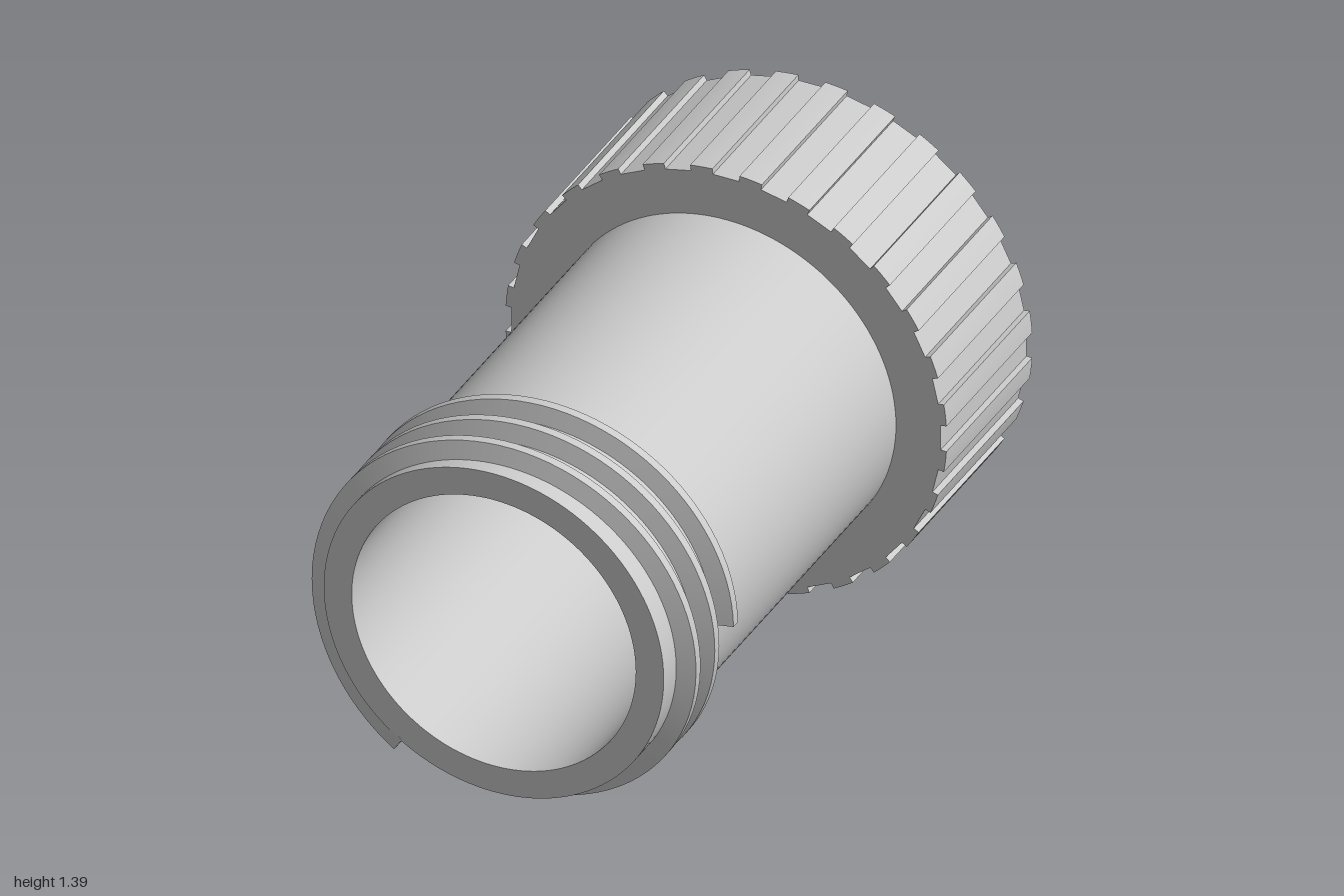
import * as THREE from 'three';
import { toCreasedNormals } from 'three/addons/utils/BufferGeometryUtils.js';

const AXIS_Y = 0.695;      // height of the container's axis
const PITCH = 0.118;       // thread rise per turn

function addMesh(parent, name, geometry) {
  const mesh = new THREE.Mesh(
    toCreasedNormals(geometry, 0.5),
    new THREE.MeshStandardMaterial({ color: 0xcccccc })
  );
  mesh.name = name;
  parent.add(mesh);
}

// Trapezoid thread winding around z, from root radius r0 to crest radius r1
function threadGeometry(r0, r1, zStart, angle) {
  const profile = [[r0, -0.03], [r1, -0.014], [r1, 0.014], [r0, 0.03]];
  if (r1 < r0) profile.reverse();
  const steps = Math.ceil(angle / (Math.PI / 48));
  const positions = [], index = [];
  for (let i = 0; i <= steps; i++) {
    const a = (angle * i) / steps;
    const z = zStart + (PITCH * a) / (Math.PI * 2);
    for (const [r, dz] of profile) positions.push(r * Math.cos(a), r * Math.sin(a), z + dz);
    if (i === steps) break;
    for (let j = 0; j < 4; j++) {
      const p = i * 4 + j, q = i * 4 + ((j + 1) % 4);
      index.push(p, p + 4, q + 4, p, q + 4, q);
    }
  }
  const e = steps * 4;
  index.push(0, 1, 2, 0, 2, 3, e, e + 2, e + 1, e, e + 3, e + 2);
  const g = new THREE.BufferGeometry();
  g.setAttribute('position', new THREE.Float32BufferAttribute(positions, 3));
  g.setIndex(index);
  return g;
}

// Round outline with 28 shallow grip grooves
function gripShape() {
  const teeth = 28, pitch = (Math.PI * 2) / teeth, half = THREE.MathUtils.degToRad(3.5);
  const points = [];
  const put = (r, a) => points.push(new THREE.Vector2(r * Math.cos(a), r * Math.sin(a)));
  for (let i = 0; i < teeth; i++) {
    const a = i * pitch;
    put(0.677, a - half);
    put(0.677, a + half);
    for (let k = 0; k <= 3; k++) put(0.695, a + half + ((pitch - 2 * half) * k) / 3);
  }
  return new THREE.Shape(points);
}

function extrudeZ(shape, z0, z1) {
  return new THREE.ExtrudeGeometry(shape, { depth: z1 - z0, bevelEnabled: false, curveSegments: 64 })
    .translate(0, 0, z0);
}

export function createModel() {
  const model = new THREE.Group();
  model.name = 'threadedContainer';

  // Hollow body with a closed floor at the back
  const body = new THREE.Group();
  body.name = 'body';
  const profile = [[0, -1], [0.535, -1], [0.535, 1], [0.447, 1], [0.447, -0.9], [0, -0.9]]
    .map(([r, z]) => new THREE.Vector2(r, z));
  addMesh(body, 'tube', new THREE.LatheGeometry(profile, 128).rotateX(Math.PI / 2));
  addMesh(body, 'outerThread',
    threadGeometry(0.53, 0.59, 0.657, THREE.MathUtils.degToRad(957)));

  // Grooved cap, open to the back
  const cap = new THREE.Group();
  cap.name = 'cap';
  const skirt = gripShape();
  skirt.holes.push(new THREE.Path().absarc(0, 0, 0.605, 0, Math.PI * 2, true));
  addMesh(cap, 'capSkirt', extrudeZ(skirt, -1, -0.55));
  addMesh(cap, 'capTop', extrudeZ(gripShape(), -0.55, -0.46));
  addMesh(cap, 'innerThread',
    threadGeometry(0.61, 0.55, -0.93, THREE.MathUtils.degToRad(957)));

  // Arched loop on the cap top, inside the tube
  const arch = new THREE.Shape();
  arch.absarc(0, 0, 0.187, 0, Math.PI, false);
  arch.absarc(0, 0, 0.11, Math.PI, 0, true);
  addMesh(cap, 'loop', extrudeZ(arch, -0.046, 0.046).rotateX(Math.PI / 2).translate(0, 0, -0.46));

  for (const part of [body, cap]) {
    part.position.y = AXIS_Y;
    model.add(part);
  }
  return model;
}
